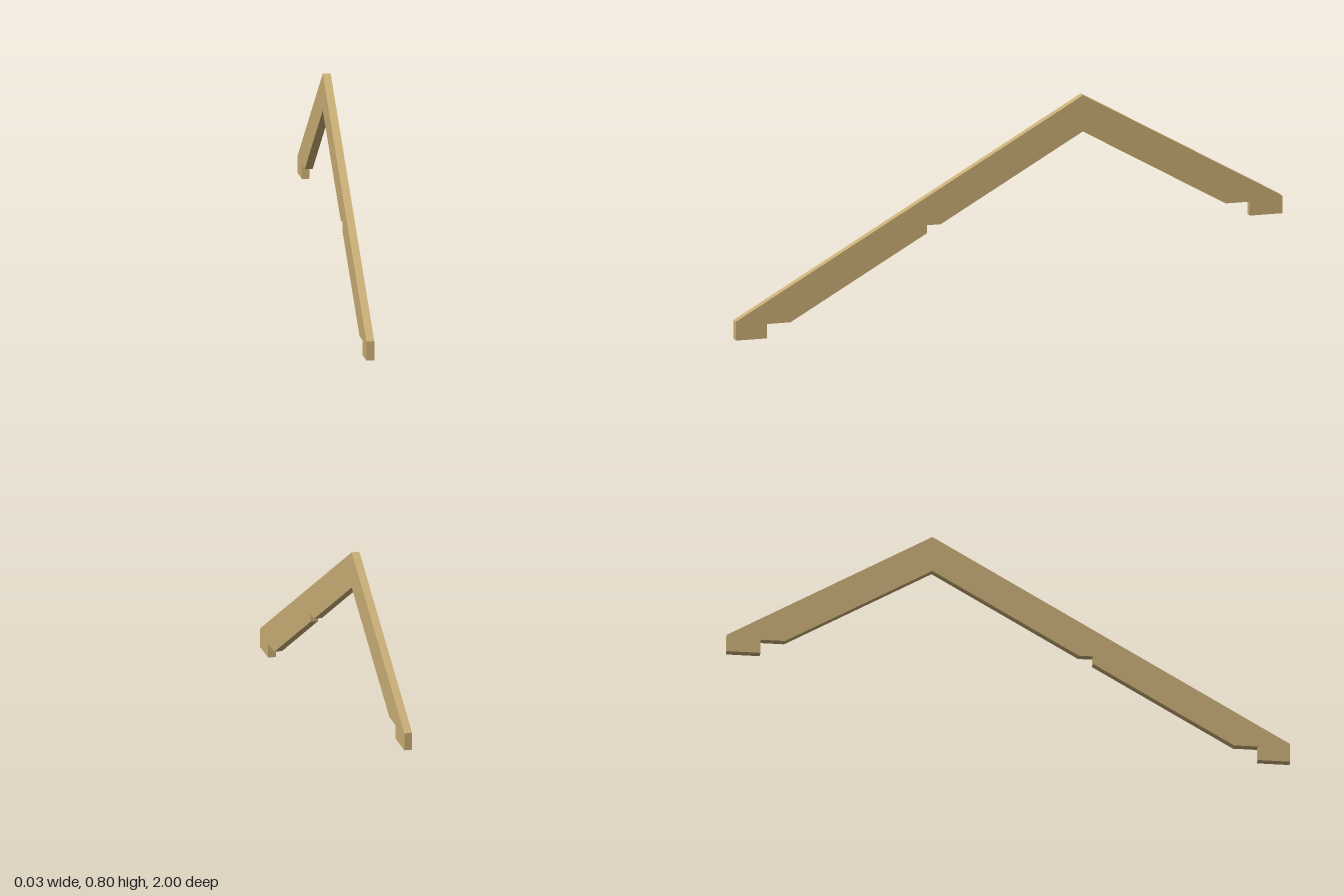
import * as THREE from 'three';

const THICKNESS = 0.028;
const SLOPE = Math.tan(Math.PI / 6); // both rafters pitch at 30 degrees
const RIDGE_Z = -0.27;
const RIDGE_TOP = 0.802;
const RIDGE_UNDER = 0.67;

// Heights of the sloping top and bottom edges at a given depth
const topAt = (z) => RIDGE_TOP - SLOPE * Math.abs(z - RIDGE_Z);
const underAt = (z) => RIDGE_UNDER - SLOPE * Math.abs(z - RIDGE_Z);

export function createModel() {
  const group = new THREE.Group();
  group.name = 'rafterPair';

  const wood = new THREE.MeshStandardMaterial({ color: 0xc8ad74 });
  wood.name = 'tan wood';

  // Side outline as (z, y)
  const outline = [
    // front foot and long rafter's upper edge
    [0.885, 0], [1, 0], [1, topAt(1)], [RIDGE_Z, RIDGE_TOP],
    // rear rafter with its foot and wall-plate notch
    [-1, topAt(-1)], [-1, 0.317], [-0.88, 0.317], [-0.88, 0.368], [-0.793, 0.368],
    // underside of the ridge
    [RIDGE_Z, RIDGE_UNDER],
    // middle birdsmouth notch
    [0.25, underAt(0.25)], [0.3, underAt(0.25)], [0.3, underAt(0.3)],
    // front wall-plate notch
    [0.8, underAt(0.8)], [0.885, underAt(0.8)],
  ];
  const shape = new THREE.Shape(outline.map(([z, y]) => new THREE.Vector2(z, y)));

  // Extrude across the thickness, then turn the outline along z
  const geometry = new THREE.ExtrudeGeometry(shape, { depth: THICKNESS, bevelEnabled: false });
  geometry.translate(0, 0, -THICKNESS / 2);
  geometry.rotateY(-Math.PI / 2);

  const rafters = new THREE.Mesh(geometry, wood);
  rafters.name = 'rafters';
  group.add(rafters);
  return group;
}
